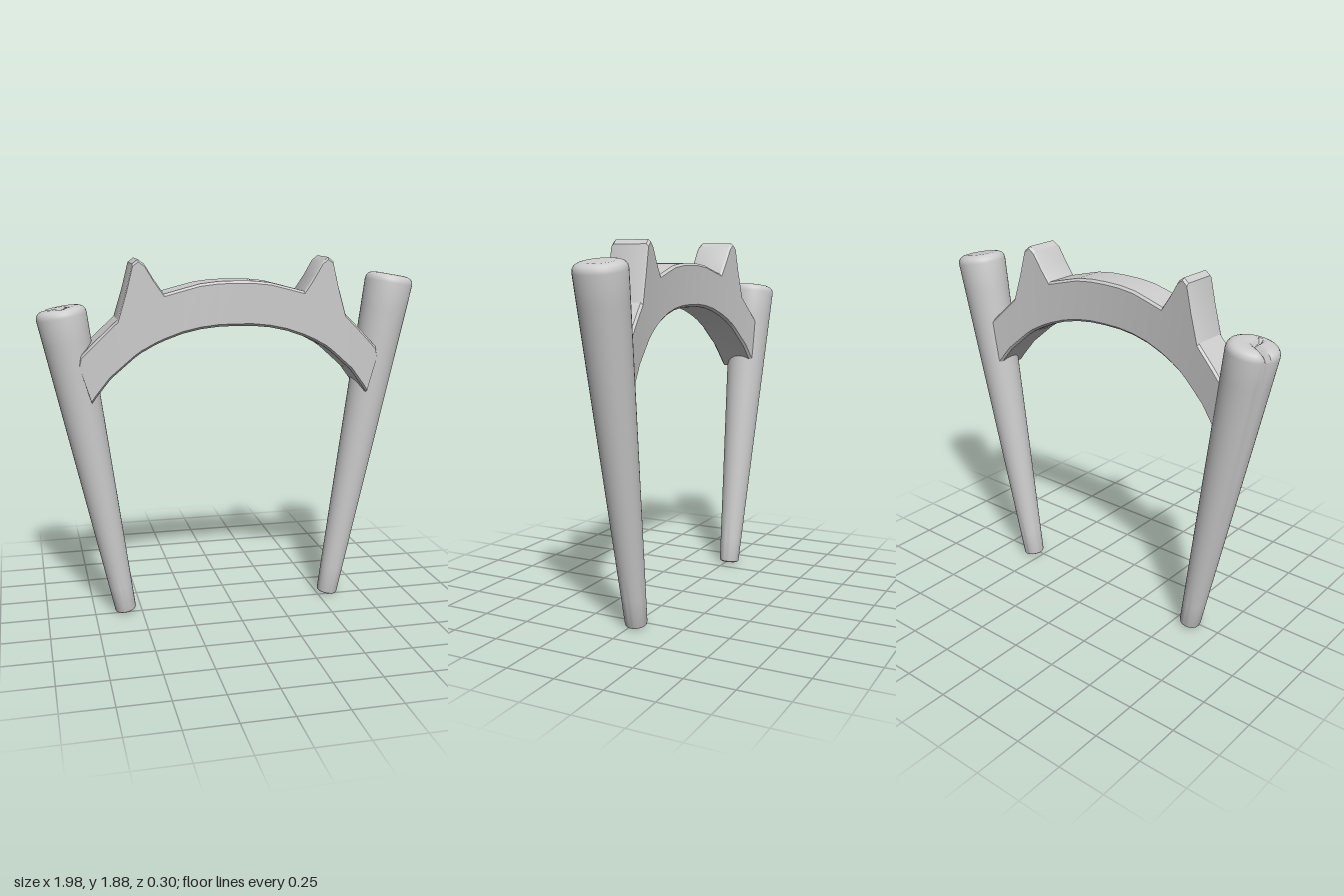
import * as THREE from 'three';
import { mergeVertices, toCreasedNormals } from 'three/addons/utils/BufferGeometryUtils.js';

const material = new THREE.MeshStandardMaterial({ color: 0xcccccc });

// Distance in a post's cross-section from a point to a segment
function segmentDistance(x, z, ax, az, bx, bz) {
  const dx = bx - ax, dz = bz - az;
  const t = THREE.MathUtils.clamp(((x - ax) * dx + (z - az) * dz) / (dx * dx + dz * dz), 0, 1);
  return Math.hypot(x - ax - t * dx, z - az - t * dz);
}

// Tapered, leaning post with softened rims and an optional split in its top and side
function makePost(name, foot, head, split) {
  const length = foot.distanceTo(head), r0 = 0.056, r1 = 0.127;
  const profile = [[0, 0], [r0 - 0.012, 0], [r0 - 0.003, 0.005], [r0, 0.014]];
  for (let i = 1; i <= 12; i++) {
    const t = i / 12;
    profile.push([r0 + (r1 - r0) * t, 0.014 + (length - 0.054) * t]);
  }
  profile.push([r1 - 0.003, length - 0.022], [r1 - 0.013, length - 0.008], [r1 - 0.03, length]);
  for (const r of [0.08, 0.06, 0.04, 0.02, 0]) profile.push([r, length + 0.003]);

  let geometry = new THREE.LatheGeometry(profile.map(([r, y]) => new THREE.Vector2(r, y)), 40);
  geometry.deleteAttribute('normal');
  geometry.deleteAttribute('uv');
  geometry = mergeVertices(geometry, 1e-5);

  if (split) {
    const p = geometry.attributes.position;
    for (let i = 0; i < p.count; i++) {
      const x = p.getX(i), y = p.getY(i), z = p.getZ(i);
      if (y > length - 0.025) {
        // crack across the top
        const d = Math.min(
          segmentDistance(x, z, -0.13, -0.07, 0, 0),
          segmentDistance(x, z, 0, 0, 0.005, 0.06));
        p.setY(i, y - 0.025 * Math.exp(-((d / 0.014) ** 2)));
      }
      // groove running down the side from the crack
      const angle = Math.atan2(z, x) - Math.atan2(-0.07, -0.13);
      const depth = 0.13 * Math.max(0, y / length - 0.15) * Math.exp(-((angle / 0.15) ** 2));
      p.setX(i, p.getX(i) * (1 - depth));
      p.setZ(i, p.getZ(i) * (1 - depth));
    }
  }
  const post = new THREE.Mesh(toCreasedNormals(geometry, 0.7), material);
  post.name = name;
  post.position.copy(foot);
  post.quaternion.setFromUnitVectors(new THREE.Vector3(0, 1, 0), head.clone().sub(foot).normalize());
  return post;
}

// Bowed arch with two horns, lofted through bevelled sections from end to end
function makeArch() {
  // half of the arch: outer x, outer y, inner x, inner y
  const half = [
    [0.785, 1.37, 0.725, 1.175], [0.775, 1.415, 0.70, 1.21], [0.69, 1.50, 0.63, 1.30],
    [0.59, 1.595, 0.55, 1.37], [0.545, 1.74, 0.51, 1.405], [0.513, 1.865, 0.475, 1.43],
    [0.485, 1.887, 0.455, 1.44], [0.455, 1.865, 0.43, 1.455], [0.41, 1.79, 0.40, 1.47],
    [0.36, 1.718, 0.36, 1.488], [0.27, 1.742, 0.27, 1.52], [0.18, 1.765, 0.18, 1.54],
    [0.09, 1.775, 0.09, 1.55], [0, 1.777, 0, 1.552],
  ];
  const mirror = (s, k) => [k * s[0], s[1], k * s[2], s[3]];
  const stations = [
    ...half.map((s) => mirror(s, -1)),
    ...half.slice(0, -1).reverse().map((s) => mirror(s, 1)),
  ];
  const bevel = 0.012, positions = [], index = [], n = 8;
  const frontZ = (x) => 0.148 - 0.13 * Math.abs(x) ** 3;
  const backZ = (x) => -0.04 - 0.12 * x * x;

  for (const [ox, oy, ix, iy] of stations) {
    const b = bevel / Math.hypot(ox - ix, oy - iy);
    const ring = [
      [b, 1, 0], [1 - b, 1, 0], [1, 1, -bevel], [1, 0, bevel],
      [1 - b, 0, 0], [b, 0, 0], [0, 0, bevel], [0, 1, -bevel],
    ];
    for (const [t, front, inset] of ring) {
      const x = ix + (ox - ix) * t;
      positions.push(x, iy + (oy - iy) * t, (front ? frontZ(x) : backZ(x)) + inset);
    }
  }
  for (let i = 0; i < stations.length - 1; i++) {
    for (let j = 0; j < n; j++) {
      const a = i * n + j, d = i * n + (j + 1) % n;
      index.push(a, a + n, d + n, a, d + n, d);
    }
  }
  const last = (stations.length - 1) * n;
  for (let k = 1; k < n - 1; k++) {
    index.push(0, k, k + 1, last, last + k + 1, last + k);
  }
  const geometry = new THREE.BufferGeometry();
  geometry.setAttribute('position', new THREE.Float32BufferAttribute(positions, 3));
  geometry.setIndex(index);
  const arch = new THREE.Mesh(toCreasedNormals(geometry, 0.5), material);
  arch.name = 'hornedArch';
  arch.position.x = -0.012;
  return arch;
}

export function createModel() {
  const group = new THREE.Group();
  group.name = 'archedGate';
  const v = (x, y, z) => new THREE.Vector3(x, y, z);
  group.add(
    makePost('rightPost', v(-0.585, 0.01, -0.02), v(-0.872, 1.643, -0.03), true),
    makePost('leftPost', v(0.555, 0.01, -0.02), v(0.872, 1.783, -0.03), false),
    makeArch(),
  );
  return group;
}
